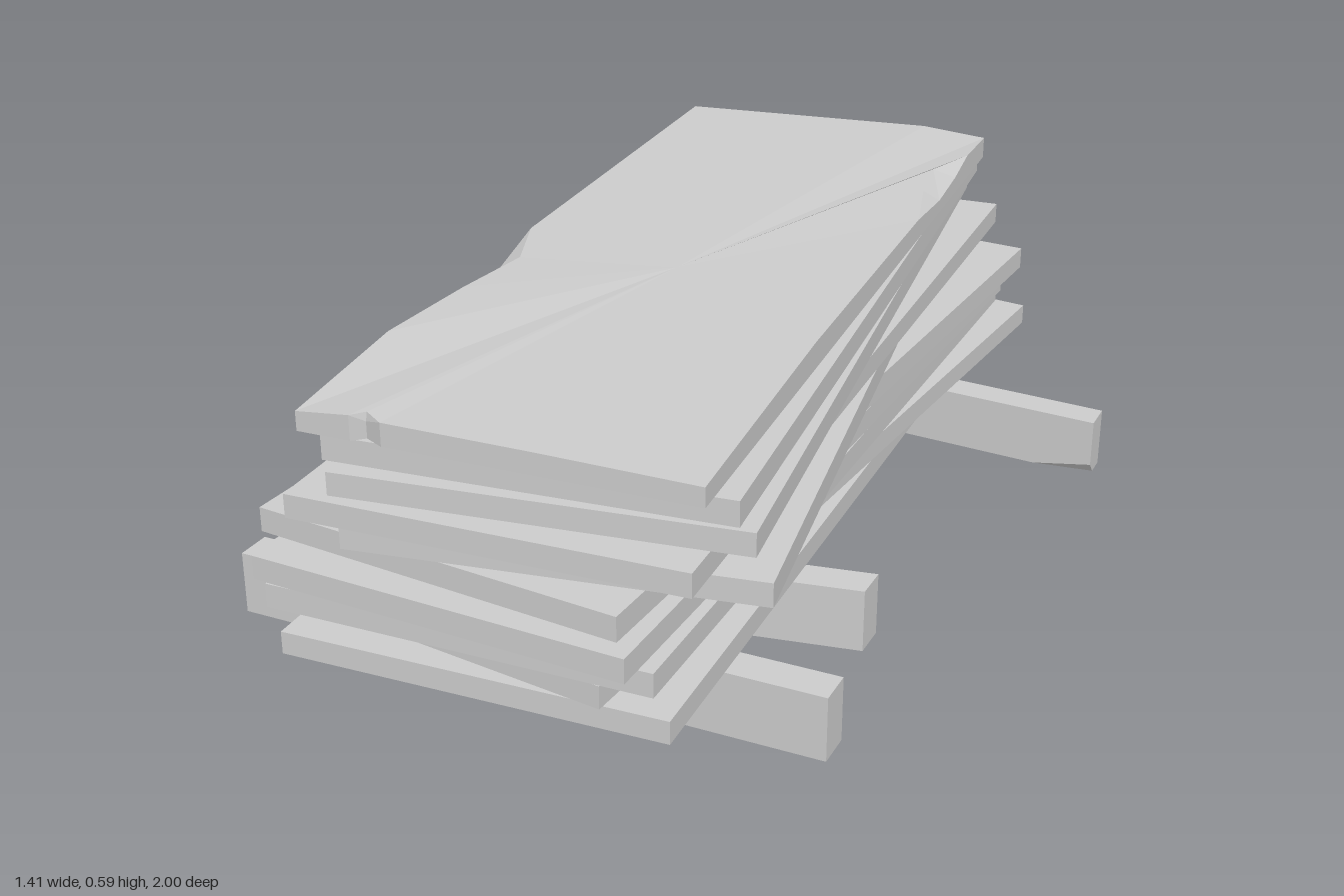
import * as THREE from 'three';

// Closed flat-shaded solid from rings of equal point count, wound counter-clockwise about its axis
function solid(name, rings) {
  const pos = [];
  const tri = (a, b, c) => {
    const n = b.clone().sub(a).cross(c.clone().sub(a));
    if (n.length() > 1e-8) for (const p of [a, b, c]) pos.push(p.x, p.y, p.z);
  };
  const count = rings[0].length;
  const centre = ring => ring.reduce((s, p) => s.add(p), new THREE.Vector3()).divideScalar(count);
  const first = rings[0], last = rings[rings.length - 1];
  const c0 = centre(first), c1 = centre(last);
  for (let i = 0; i < count; i++) {
    const j = (i + 1) % count;
    for (let r = 0; r < rings.length - 1; r++) {
      const [a, b] = [rings[r], rings[r + 1]];
      tri(a[i], a[j], b[j]);
      tri(a[i], b[j], b[i]);
    }
    tri(c0, first[j], first[i]);
    tri(c1, last[i], last[j]);
  }
  const geo = new THREE.BufferGeometry();
  geo.setAttribute('position', new THREE.Float32BufferAttribute(pos, 3));
  geo.computeVertexNormals();
  const mesh = new THREE.Mesh(geo, new THREE.MeshStandardMaterial({ color: 0xcccccc, flatShading: true }));
  mesh.name = name;
  return mesh;
}

// Maps plank coordinates (u across, v along, both -1..1) to a slightly skewed slab
const WIDTH = 0.705, LENGTH = 1.845;
const slabPoint = (cx, cz, sx, ez) => (u, v, y) =>
  new THREE.Vector3(cx + (u * WIDTH + v * sx) / 2, y, cz + (v * LENGTH - u * ez) / 2);

const CORNERS = [[-1, 1], [1, 1], [1, -1], [-1, -1]];
function slab(name, y0, y1, cx, cz, sx, ez) {
  const at = slabPoint(cx, cz, sx, ez);
  return solid(name, [y0, y1].map(y => CORNERS.map(([u, v]) => at(u, v, y))));
}

// Top slab with a worn, chipped rim: [u, v, rim height, top u, top v, top height]
function topSlab() {
  const at = slabPoint(0.025, 0, 0.15, 0.03);
  const rim = [
    [-1, 1, 0.565, -1, 1, 0.565],
    [-0.72, 1, 0.575, -0.72, 1, 0.575],
    [-0.66, 0.98, 0.56, -0.66, 0.975, 0.575],
    [-0.56, 1, 0.572, -0.56, 1, 0.572],
    [0.2, 1, 0.57, 0.2, 1, 0.57],
    [1, 1, 0.565, 1, 1, 0.565],
    [1, 0.4, 0.58, 1, 0.4, 0.58],
    [1, -0.36, 0.572, 1, -0.36, 0.572],
    [1, -0.55, 0.557, 0.9, -0.55, 0.574],
    [1, -0.7, 0.565, 0.86, -0.7, 0.578],
    [1, -0.82, 0.582, 1, -0.82, 0.582],
    [1, -1, 0.575, 1, -1, 0.575],
    [0.6, -1, 0.587, 0.6, -1, 0.587],
    [-1, -1, 0.572, -1, -1, 0.572],
    [-1, 0.02, 0.575, -1, 0.02, 0.575],
    [-1, 0.19, 0.54, -0.86, 0.19, 0.575],
    [-1, 0.4, 0.545, -0.93, 0.4, 0.58],
    [-1, 0.66, 0.582, -1, 0.66, 0.582],
  ];
  return solid('topSlab', [
    rim.map(([u, v]) => at(u, v, 0.53)),
    rim.map(([u, v, y]) => at(u, v, y)),
    rim.map(([, , , u, v, y]) => at(u, v, y)),
  ]);
}

// Support beam from (x0, z0) to (x1, z1), optionally chipped at the left top and right bottom
function beam(name, x0, z0, x1, z1, topChip, bottomChip) {
  const H = 0.122, half = 0.035;
  const ring = (t, top, bottom) => {
    const x = x0 + (x1 - x0) * t, z = z0 + (z1 - z0) * t;
    return [
      [0, -half], [H, -half], [H, half - top], [H - top, half], [bottom, half], [0, half - bottom],
    ].map(([y, dz]) => new THREE.Vector3(x, y, z + dz));
  };
  return solid(name, [ring(0, topChip, 0), ring(0.1, 0, 0), ring(0.91, 0, 0), ring(1, 0, bottomChip)]);
}

export function createModel() {
  const group = new THREE.Group();
  group.name = 'slabStack';

  // Beams the stack rests on
  group.add(
    beam('backBeam', -0.705, -0.665, 0.702, -0.545, 0.03, 0.025),
    beam('middleBeam', -0.505, 0.5, 0.515, 0.325, 0.035, 0),
    beam('frontBeam', -0.572, 0.675, 0.582, 0.675, 0, 0),
  );

  // Slabs, bottom up: y0, y1, centre x, centre z, sideways lean, end skew
  const slabs = [
    [0.122, 0.164, 0.02, 0.03, 0.07, 0.03],
    [0.164, 0.206, 0.01, -0.02, -0.14, -0.1],
    [0.206, 0.25, 0.022, 0.035, 0.02, 0.02],
    [0.25, 0.294, 0.02, 0.055, -0.03, -0.03],
    [0.303, 0.348, 0.025, 0.01, -0.09, -0.07],
    [0.348, 0.391, 0.03, -0.02, 0.31, 0.12],
    [0.391, 0.434, 0.045, 0.035, 0.095, 0.04],
    [0.434, 0.476, 0.03, -0.02, 0.26, 0.1],
    [0.476, 0.521, 0.025, -0.04, 0.21, 0.07],
  ];
  slabs.forEach((s, i) => group.add(slab(`slab${i + 1}`, ...s)));
  group.add(topSlab());
  return group;
}
